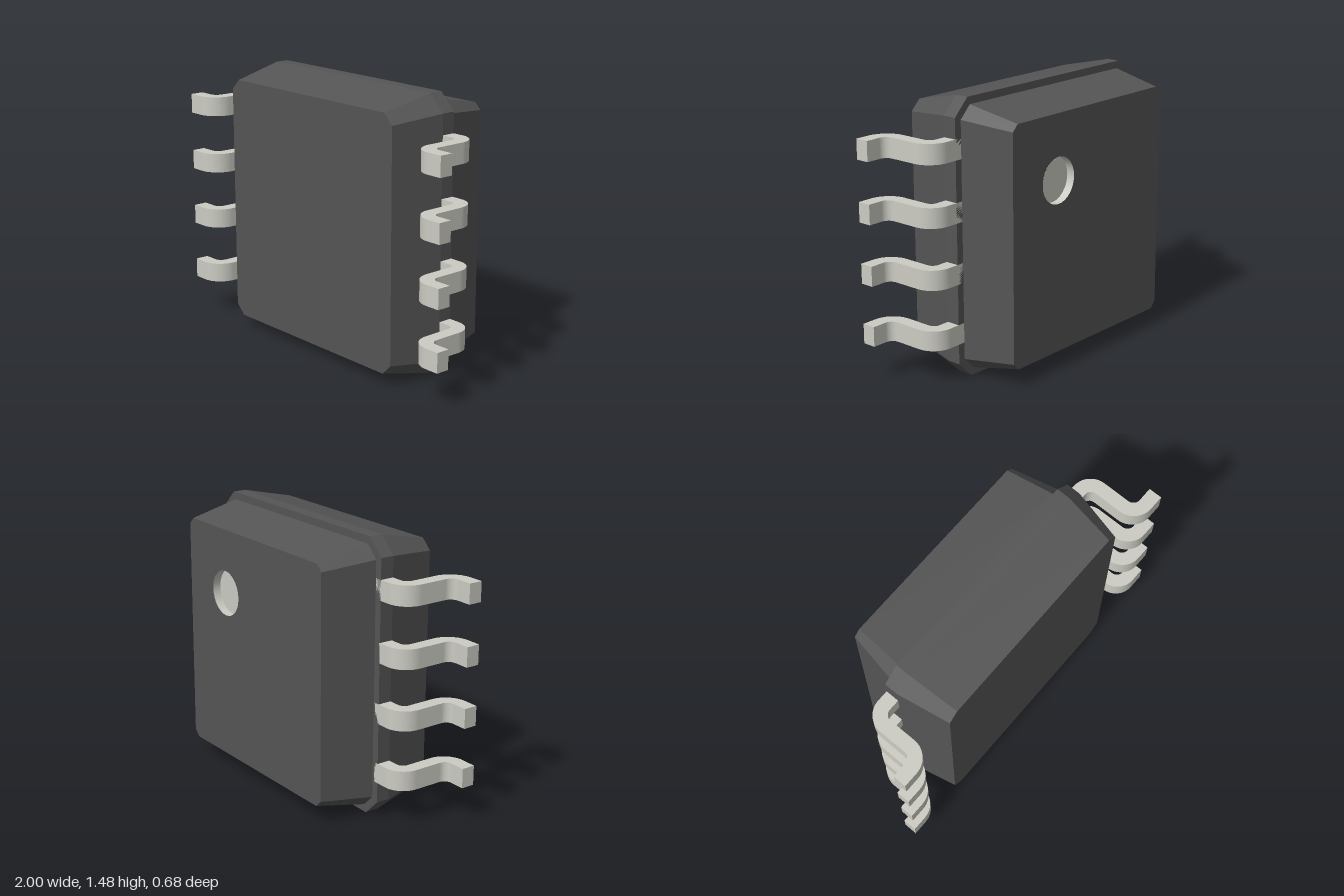
import * as THREE from 'three';
import { mergeGeometries } from 'three/addons/utils/BufferGeometryUtils.js';

const CY = 0.74; // height of the body centre
const HOLE = { x: 0.256, y: 1.03 - CY, r: 0.124, depth: 0.045 };

// Rectangle with cut corners, counter-clockwise seen from +z
function octagon([, w, h, c]) {
  return [[w, c - h], [w, h - c], [w - c, h], [c - w, h],
    [-w, h - c], [-w, c - h], [c - w, -h], [w - c, -h]].map(([x, y]) => new THREE.Vector2(x, y));
}

// Flat end of the body, optionally with the round hole
function cap(section, facesBack, hole) {
  const shape = new THREE.Shape(octagon(section));
  if (hole) shape.holes.push(new THREE.Path().absarc(hole.x, hole.y, hole.r, 0, Math.PI * 2, true));
  const g = new THREE.ShapeGeometry(shape, 32).toNonIndexed();
  g.deleteAttribute('uv');
  if (facesBack) {
    const p = g.attributes.position;
    const a = new THREE.Vector3(), b = new THREE.Vector3();
    for (let i = 0; i < p.count; i += 3) { // reverse the winding
      a.fromBufferAttribute(p, i + 1);
      b.fromBufferAttribute(p, i + 2);
      p.setXYZ(i + 1, b.x, b.y, b.z);
      p.setXYZ(i + 2, a.x, a.y, a.z);
    }
    g.computeVertexNormals();
  }
  return g.translate(0, 0, section[0]);
}

// Closed solid through sections [z, halfWidth, halfHeight, cornerCut], front to back
function loft(sections, hole) {
  const pos = [];
  for (let s = 0; s < sections.length - 1; s++) {
    const f = octagon(sections[s]), b = octagon(sections[s + 1]);
    const zf = sections[s][0], zb = sections[s + 1][0];
    for (let i = 0; i < 8; i++) {
      const j = (i + 1) % 8;
      const quad = [[f[i], zf], [b[i], zb], [b[j], zb], [f[j], zf]];
      for (const k of [0, 1, 2, 0, 2, 3]) pos.push(quad[k][0].x, quad[k][0].y, quad[k][1]);
    }
  }
  const sides = new THREE.BufferGeometry();
  sides.setAttribute('position', new THREE.Float32BufferAttribute(pos, 3));
  sides.computeVertexNormals();
  return mergeGeometries([sides, cap(sections[0], false), cap(sections.at(-1), true, hole)]);
}

// Gull-wing pin profile (x, z), extruded along the height
function pinGeometry() {
  const P = Math.PI, height = 0.107;
  const s = new THREE.Shape();
  s.moveTo(0.62, -0.05);
  s.lineTo(0.762, -0.05);
  s.absarc(0.762, 0.062, 0.112, -P / 2, 0, false);
  s.lineTo(0.874, 0.218);
  s.absarc(0.916, 0.218, 0.042, P, P / 2, true);
  s.lineTo(1, 0.26);
  s.lineTo(1, 0.335);
  s.lineTo(0.916, 0.335);
  s.absarc(0.916, 0.218, 0.117, P / 2, P, false);
  s.lineTo(0.799, 0.062);
  s.absarc(0.762, 0.062, 0.037, 0, -P / 2, true);
  s.lineTo(0.62, 0.025);
  s.closePath();
  return new THREE.ExtrudeGeometry(s, { depth: height, bevelEnabled: false, curveSegments: 8 })
    .translate(0, 0, -height / 2).rotateX(P / 2);
}

export function createModel() {
  const model = new THREE.Group();
  model.name = 'chip';
  const dark = new THREE.MeshStandardMaterial({ color: 0x555555 });
  const metal = new THREE.MeshStandardMaterial({ color: 0xccccc4 });
  const marker = new THREE.MeshStandardMaterial({ color: 0xccccc4, side: THREE.DoubleSide });

  const add = (name, geometry, material, parent = model) => {
    const mesh = new THREE.Mesh(geometry, material);
    mesh.name = name;
    parent.add(mesh);
    return mesh;
  };

  // Two halves of the moulded body
  const front = [[0.31, 0.64, 0.675, 0.056], [0.025, 0.7, 0.74, 0.09], [-0.05, 0.7, 0.74, 0.09]];
  const back = [[-0.05, 0.66, 0.7, 0.067], [-0.34, 0.603, 0.64, 0.036]];
  add('frontBody', loft(front), dark).position.y = CY;
  add('backBody', loft(back, HOLE), dark).position.y = CY;

  // Shallow round marker recess in the back
  const recess = new THREE.Group();
  recess.name = 'markerRecess';
  recess.position.set(HOLE.x, CY + HOLE.y, -0.34);
  model.add(recess);
  const wall = new THREE.CylinderGeometry(HOLE.r, HOLE.r, HOLE.depth, 32, 1, true);
  add('recessWall', wall.rotateX(Math.PI / 2), marker, recess).position.z = HOLE.depth / 2;
  const floor = new THREE.CircleGeometry(HOLE.r, 32).rotateY(Math.PI);
  add('recessFloor', floor, marker, recess).position.z = HOLE.depth;

  // Four pins on each side
  const pin = pinGeometry();
  for (const side of ['left', 'right']) {
    for (let i = 0; i < 4; i++) {
      const mesh = add(`${side}Pin${i + 1}`, pin, metal);
      mesh.position.y = CY + (i - 1.5) * 0.325;
      if (side === 'right') mesh.rotation.z = Math.PI;
    }
  }
  return model;
}
